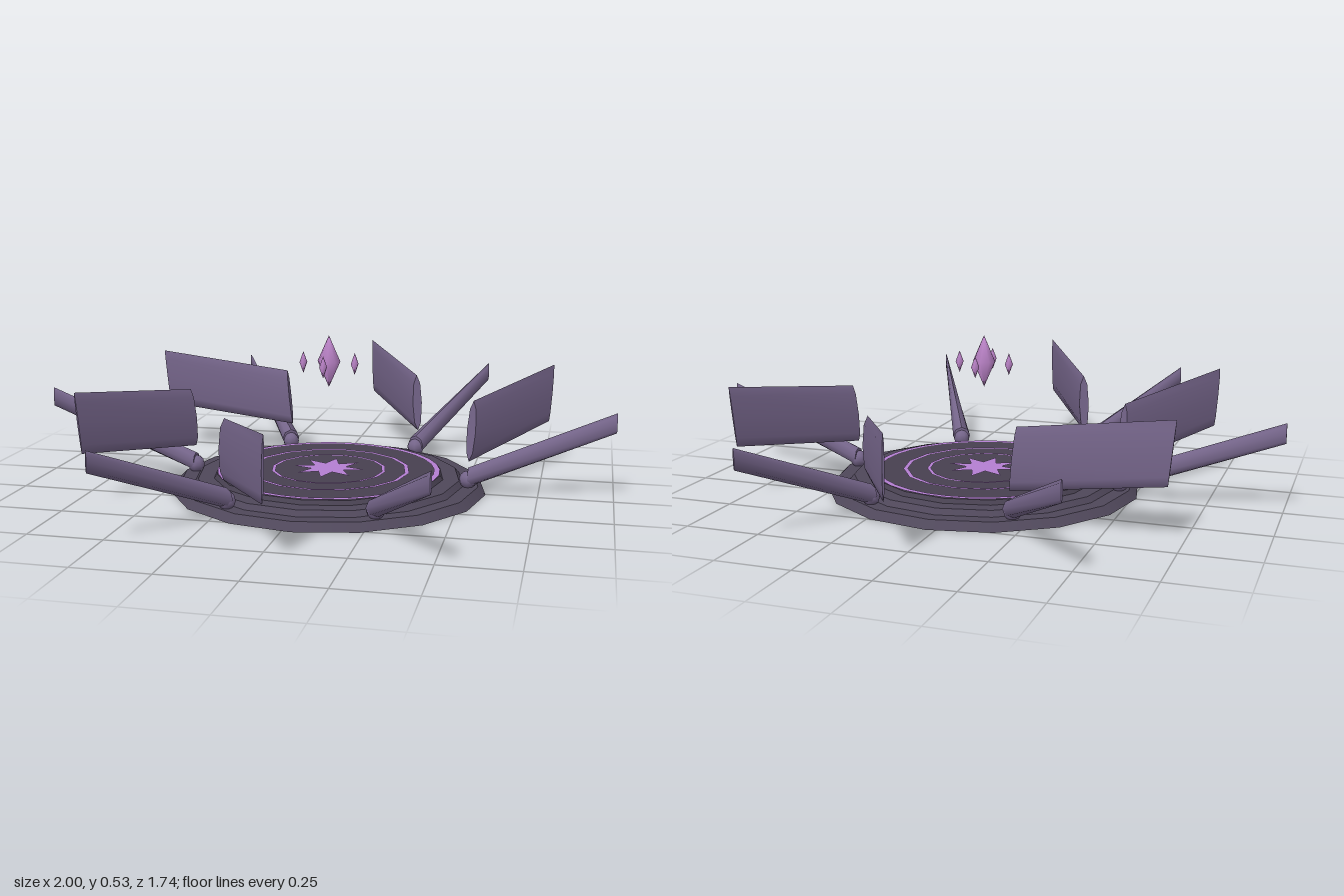
import * as THREE from 'three';

const CX = 0.03, CZ = 0.006; // centre of the dais

const mat = (name, color) => {
  const m = new THREE.MeshStandardMaterial({ color });
  m.name = name;
  return m;
};

// Tapered elliptical blade running from a to b; half-widths w0 -> w1, half-height h along up
function blade(a, b, w0, w1, h, up) {
  const g = new THREE.CylinderGeometry(1, 1, 1, 8, 1);
  const side = b.clone().sub(a).cross(up).normalize();
  const p = g.attributes.position, v = new THREE.Vector3();
  for (let i = 0; i < p.count; i++) {
    const t = p.getY(i) + 0.5;
    v.lerpVectors(a, b, t)
      .addScaledVector(side, p.getX(i) * THREE.MathUtils.lerp(w0, w1, t))
      .addScaledVector(up, p.getZ(i) * h);
    p.setXYZ(i, v.x, v.y, v.z);
  }
  g.computeVertexNormals();
  return g;
}

export function createModel() {
  const stone = mat('dark stone', 0x4f475a);
  const slab = mat('dark slab', 0x474050);
  const metal = mat('purple metal', 0x75658a);
  const glow = mat('violet glow', 0xb47fd2);
  const gem = mat('pink crystal', 0xbf86cc);

  const model = new THREE.Group();
  const add = (parent, name, geo, m, x = 0, y = 0, z = 0) => {
    const mesh = new THREE.Mesh(geo, m);
    mesh.name = name;
    mesh.position.set(x, y, z);
    parent.add(mesh);
    return mesh;
  };

  // Stepped sixteen-sided dais
  const dais = new THREE.Group();
  dais.name = 'dais';
  dais.position.set(CX, 0, CZ);
  model.add(dais);
  const tiers = [[0.52, 0.546, 0, 0.026, stone], [0.455, 0.47, 0.026, 0.044, stone], [0.39, 0.4, 0.044, 0.058, slab]];
  tiers.forEach(([top, bottom, y0, y1, m], i) =>
    add(dais, 'tier' + (i + 1), new THREE.CylinderGeometry(top, bottom, y1 - y0, 16), m, 0, (y0 + y1) / 2, 0));

  // Glowing rings inlaid in the top
  for (const [inner, outer, n] of [[0.367, 0.387, 32], [0.268, 0.283, 16], [0.188, 0.2, 16]]) {
    const g = new THREE.RingGeometry(inner, outer, n).rotateX(-Math.PI / 2);
    add(dais, 'glowRing', g, glow, 0, 0.061, 0);
  }

  // Eight-pointed star
  const star = new THREE.Shape();
  for (let i = 0; i < 16; i++) {
    const r = i % 2 ? 0.062 : 0.13, a = i * Math.PI / 8;
    star[i ? 'lineTo' : 'moveTo'](r * Math.cos(a), r * Math.sin(a));
  }
  add(dais, 'star', new THREE.ShapeGeometry(star).rotateX(-Math.PI / 2), glow, 0, 0.064, 0);

  // Floating crystals: one large, four small around it
  const crystal = (w, h, n) => new THREE.LatheGeometry(
    [[0, -h], [w, 0], [0, h]].map(([x, y]) => new THREE.Vector2(x, y)), n);
  add(dais, 'largeCrystal', crystal(0.04, 0.09, 8), gem, 0, 0.44, 0);
  for (let i = 0; i < 4; i++) {
    const a = i * Math.PI / 2;
    add(dais, 'smallCrystal', crystal(0.014, 0.038, 6), gem, 0.09 * Math.cos(a), 0.434, 0.09 * Math.sin(a));
  }

  // Six slanted spikes, five of them carrying a swept vane
  const Y = new THREE.Vector3(0, 1, 0);
  for (let i = 0; i < 6; i++) {
    const a = i * Math.PI / 3, c = Math.cos(a), s = Math.sin(a);
    const foot = new THREE.Vector3(CX + 0.485 * c, 0.058, CZ - 0.485 * s);
    const tip = new THREE.Vector3(c, 0.268, -s * 0.993 - 0.008);
    add(model, 'spike', blade(foot, tip, 0.033, 0.003, 0.034, Y), metal);
    add(model, 'spikeSocket', new THREE.SphereGeometry(0.031, 8, 6), metal, foot.x, 0.05, foot.z);

    if (i === 5) continue;
    const b = a + Math.PI / 3;
    const dir = new THREE.Vector3(Math.cos(b), 0.12, -Math.sin(b));
    const start = new THREE.Vector3(CX + 0.492 * c, 0.219, CZ - 0.492 * s);
    const end = start.clone().addScaledVector(dir, 0.495);
    const up = Y.clone().addScaledVector(dir, -0.12 / dir.lengthSq()).normalize();
    // lean the end edges outward at the top
    up.set(Math.cos(b) * 0.1, 1, -Math.sin(b) * 0.1).multiplyScalar(0.995);
    add(model, 'vane', blade(start, end, 0.018, 0.004, 0.104, up), metal);
  }
  return model;
}
